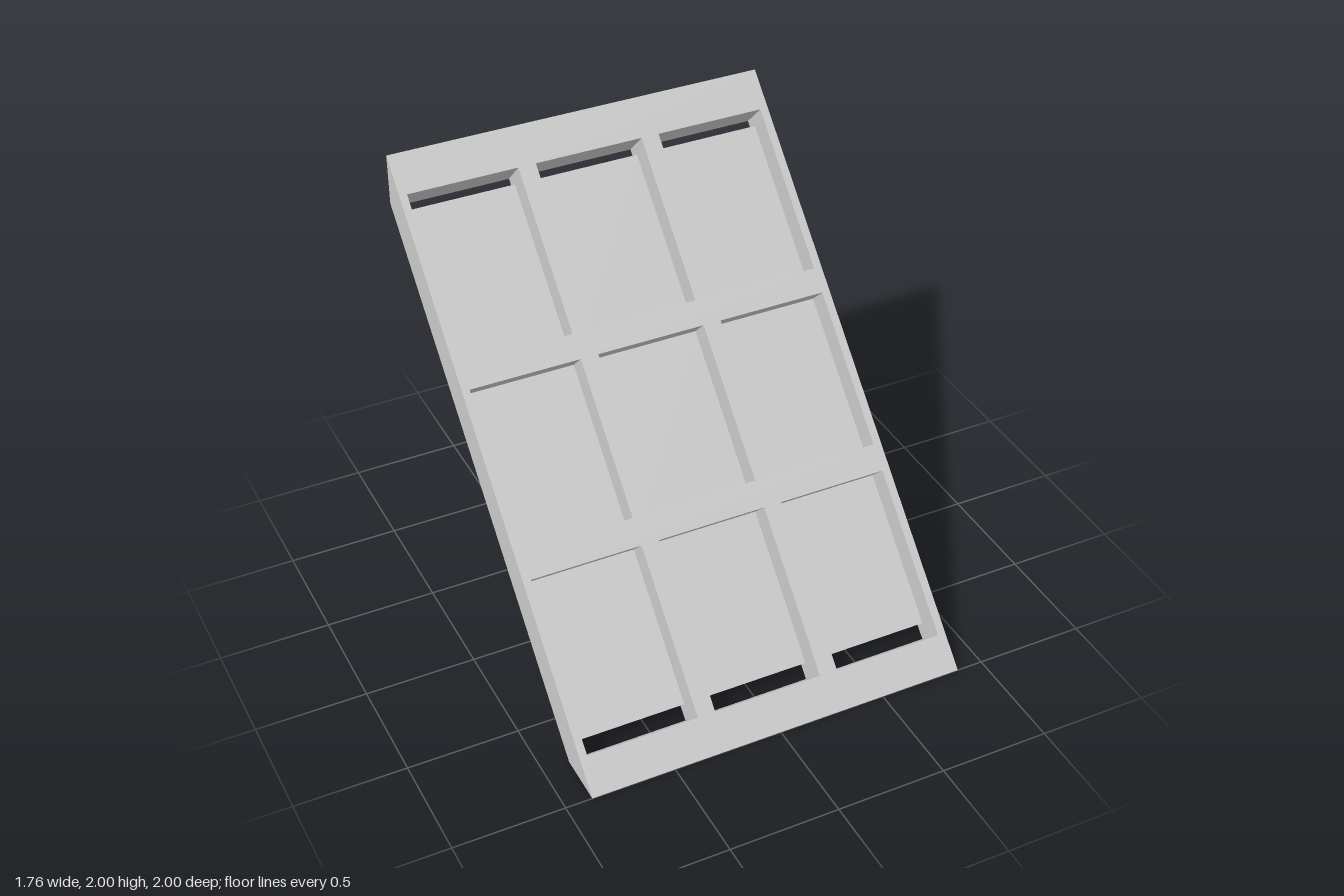
import * as THREE from 'three';

const R2 = Math.SQRT2;
const THICK = 0.235 / R2;   // frame thickness across the slope
const END = R2;             // half length along the slope
const HALF_W = 0.88;
// openings: [from, to] across the width, and as heights on the front face
const COLS = [[-0.845, -0.335], [-0.253, 0.252], [0.335, 0.843]];
const ROWS = [[0.122, 0.66], [0.747, 1.252], [1.333, 1.87]];
const along = y => (y - 1) * R2;

function rectPath(path, x0, x1, y0, y1) {
  path.moveTo(x0, y0);
  path.lineTo(x1, y0);
  path.lineTo(x1, y1);
  path.lineTo(x0, y1);
  path.closePath();
  return path;
}

export function createModel() {
  const model = new THREE.Group();
  model.name = 'slopedWindow';
  const material = new THREE.MeshStandardMaterial({ color: 0xcccccc });

  // lattice frame, laid out flat in slope coordinates
  const outline = rectPath(new THREE.Shape(), -HALF_W, HALF_W, -END, END);
  for (const [x0, x1] of COLS)
    for (const [y0, y1] of ROWS)
      outline.holes.push(rectPath(new THREE.Path(), x0, x1, along(y0), along(y1)));
  const frameGeo = new THREE.ExtrudeGeometry(outline, { depth: THICK, bevelEnabled: false });
  frameGeo.translate(0, 0, -THICK);

  // mitre the back of both ends: level foot, upright top
  const p = frameGeo.attributes.position;
  for (let i = 0; i < p.count; i++) {
    const s = p.getY(i);
    if (p.getZ(i) < -THICK / 2 && Math.abs(s) > END - 0.001)
      p.setY(i, s - Math.sign(s) * THICK);
  }
  frameGeo.computeVertexNormals();

  const slope = new THREE.Group();
  slope.name = 'slopedPanel';
  const frame = new THREE.Mesh(frameGeo, material);
  frame.name = 'frame';
  slope.add(frame);

  // thin panes set deep in the openings, stopping short of the outer ends
  const paneThick = 0.01;
  COLS.forEach(([x0, x1], c) => ROWS.forEach(([y0, y1], r) => {
    const s0 = r === 0 ? -1.174 : along(y0);
    const s1 = r === 2 ? 1.188 : along(y1);
    const pane = new THREE.Mesh(new THREE.BoxGeometry(x1 - x0, s1 - s0, paneThick), material);
    pane.name = `pane_${r + 1}_${c + 1}`;
    pane.position.set((x0 + x1) / 2, (s0 + s1) / 2, -0.113 - paneThick / 2);
    slope.add(pane);
  }));

  slope.rotation.x = -Math.PI / 4;
  slope.position.y = 1;
  model.add(slope);
  return model;
}
